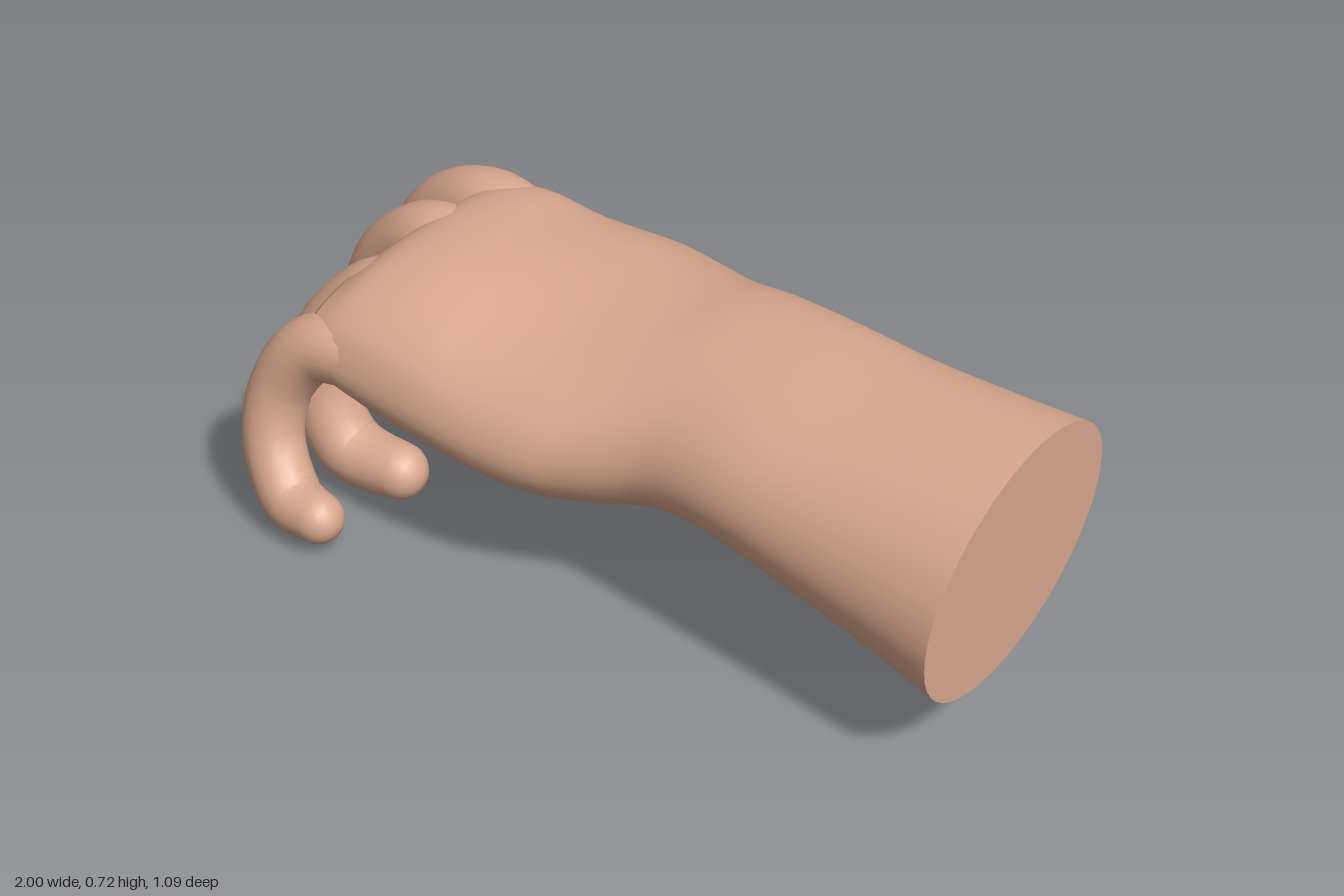
import * as THREE from 'three';

const skin = new THREE.MeshStandardMaterial({ color: 0xdba98f });
skin.name = 'skin';

// Catmull-Rom interpolation of whole rows of numbers, u from 0 to 1
function sampleRows(rows, u) {
  const f = Math.min(Math.max(u, 0), 1) * (rows.length - 1);
  const i = Math.min(Math.floor(f), rows.length - 2), t = f - i;
  const at = k => rows[Math.min(Math.max(k, 0), rows.length - 1)];
  const a = at(i - 1), b = at(i), c = at(i + 1), d = at(i + 2);
  return b.map((v, k) => v + 0.5 * t * (c[k] - a[k]
    + t * (2 * a[k] - 5 * v + 4 * c[k] - d[k] + t * (3 * (v - c[k]) + d[k] - a[k]))));
}

// Smooth surface through equal rings of points, closed by a point at the end
function loft(name, rings, pole) {
  const n = rings[0].length, pos = [], index = [];
  rings.forEach(r => r.forEach(p => pos.push(p.x, p.y, p.z)));
  pos.push(pole.x, pole.y, pole.z);
  for (let i = 0; i < rings.length; i++) {
    for (let j = 0; j < n; j++) {
      const a = i * n + j, b = i * n + (j + 1) % n;
      if (i < rings.length - 1) index.push(a, b, b + n, a, b + n, a + n);
      else index.push(a, b, rings.length * n);
    }
  }
  const g = new THREE.BufferGeometry();
  g.setAttribute('position', new THREE.Float32BufferAttribute(pos, 3));
  g.setIndex(index);
  g.computeVertexNormals();
  const mesh = new THREE.Mesh(g, skin);
  mesh.name = name;
  return mesh;
}

// Round limb along rows of [x, y, z, radius], with a domed tip
function limb(name, rows, sides = 20, steps = 36) {
  const rings = [];
  const point = u => new THREE.Vector3(...sampleRows(rows, u).slice(0, 3));
  const ring = (c, t, r) => {
    const side = new THREE.Vector3(0, 0, 1).addScaledVector(t, -t.z).normalize();
    const up = new THREE.Vector3().crossVectors(t, side);
    return Array.from({ length: sides }, (_, j) => {
      const a = j / sides * Math.PI * 2;
      return c.clone().addScaledVector(side, r * Math.cos(a)).addScaledVector(up, r * Math.sin(a));
    });
  };
  let tangent;
  for (let i = 0; i <= steps; i++) {
    const u = i / steps;
    tangent = point(u + 0.01).sub(point(u - 0.01)).normalize();
    rings.push(ring(point(u), tangent, sampleRows(rows, u)[3]));
  }
  const end = point(1), r = rows[rows.length - 1][3];
  for (let k = 1; k < 5; k++) {
    const a = k / 5 * Math.PI / 2;
    rings.push(ring(end.clone().addScaledVector(tangent, r * Math.sin(a)), tangent, r * Math.cos(a)));
  }
  return loft(name, rings, end.clone().addScaledVector(tangent, r));
}

// Forearm and palm sections: x, top, bottom, zMin, zMax, skew, squareness, drop of the thumb side
const ARM = [
  [0.985, 0.72, 0.15, -0.285, 0.37, -0.2, 1, 0],
  [0.8, 0.712, 0.2, -0.28, 0.352, -0.2, 1, 0],
  [0.6, 0.705, 0.245, -0.28, 0.335, -0.2, 1, 0],
  [0.4, 0.708, 0.283, -0.29, 0.32, -0.2, 1, 0],
  [0.2, 0.697, 0.283, -0.32, 0.305, -0.2, 0.98, 0.01],
  [0.05, 0.677, 0.25, -0.385, 0.345, -0.22, 0.97, 0.06],
  [-0.08, 0.67, 0.24, -0.455, 0.39, -0.25, 0.96, 0.11],
  [-0.2, 0.672, 0.25, -0.475, 0.41, -0.27, 0.95, 0.12],
  [-0.31, 0.674, 0.275, -0.43, 0.418, -0.29, 0.92, 0.09],
  [-0.41, 0.675, 0.3, -0.355, 0.42, -0.3, 0.88, 0.03],
  [-0.54, 0.677, 0.33, -0.325, 0.42, -0.32, 0.85, 0],
  [-0.65, 0.655, 0.365, -0.31, 0.415, -0.33, 0.85, 0],
  [-0.72, 0.6, 0.43, -0.28, 0.39, -0.33, 0.85, 0],
];

function armRing(u, sides = 48) {
  const [x, top, bottom, z0, z1, skew, p, drop] = sampleRows(ARM, u);
  const soft = v => Math.sign(v) * Math.abs(v) ** p;
  return Array.from({ length: sides }, (_, j) => {
    const a = j / sides * Math.PI * 2;
    const y = (top + bottom) / 2 + (top - bottom) / 2 * soft(Math.sin(a + skew))
      - drop * Math.max(0, -Math.cos(a)) ** 2;
    const z = (z0 + z1) / 2 + (z1 - z0) / 2 * soft(Math.cos(a));
    // the cut end leans slightly
    return new THREE.Vector3(x + Math.max(0, 1 - u * 4) * (y - 0.435) * 0.055, y, z);
  });
}

// Limb centre lines: x, y, z, radius
const LIMBS = {
  thumb: [
    [0.1, 0.43, -0.2, 0.11], [-0.02, 0.4, -0.26, 0.15], [-0.15, 0.375, -0.325, 0.17],
    [-0.29, 0.365, -0.375, 0.152], [-0.42, 0.345, -0.43, 0.117], [-0.55, 0.32, -0.45, 0.092],
    [-0.68, 0.295, -0.435, 0.087], [-0.79, 0.283, -0.43, 0.08], [-0.862, 0.28, -0.45, 0.066],
  ],
  indexFinger: [
    [-0.45, 0.55, -0.21, 0.07], [-0.65, 0.573, -0.22, 0.096], [-0.8, 0.53, -0.23, 0.09],
    [-0.9, 0.42, -0.235, 0.085], [-0.915, 0.28, -0.23, 0.082], [-0.84, 0.155, -0.22, 0.08],
    [-0.7, 0.13, -0.22, 0.072],
  ],
  middleFinger: [
    [-0.45, 0.55, -0.03, 0.07], [-0.66, 0.567, -0.035, 0.095], [-0.79, 0.51, -0.04, 0.09],
    [-0.875, 0.4, -0.04, 0.085], [-0.885, 0.25, -0.04, 0.083], [-0.81, 0.12, -0.04, 0.083],
    [-0.66, 0.1, -0.04, 0.072],
  ],
  ringFinger: [
    [-0.45, 0.5, 0.16, 0.07], [-0.63, 0.53, 0.165, 0.092], [-0.74, 0.475, 0.19, 0.086],
    [-0.82, 0.36, 0.225, 0.08], [-0.825, 0.22, 0.235, 0.08], [-0.75, 0.09, 0.232, 0.082],
    [-0.6, 0.08, 0.225, 0.07],
  ],
  littleFinger: [
    [-0.45, 0.46, 0.31, 0.05], [-0.62, 0.465, 0.335, 0.083], [-0.73, 0.44, 0.36, 0.082],
    [-0.802, 0.33, 0.395, 0.076], [-0.8, 0.2, 0.435, 0.074], [-0.72, 0.09, 0.47, 0.073],
    [-0.62, 0.08, 0.485, 0.062],
  ],
};

export function createModel() {
  const hand = new THREE.Group();
  hand.name = 'hand';

  const rings = Array.from({ length: 61 }, (_, i) => armRing(i / 60));
  hand.add(loft('forearmAndPalm', rings, new THREE.Vector3(-0.74, 0.515, 0.055)));

  // Flat cut end, turned to face away from the hand
  hand.add(loft('cutEnd', [armRing(0).reverse()], new THREE.Vector3(0.985, 0.435, 0.0425)));

  for (const [name, rows] of Object.entries(LIMBS)) hand.add(limb(name, rows));
  return hand;
}
